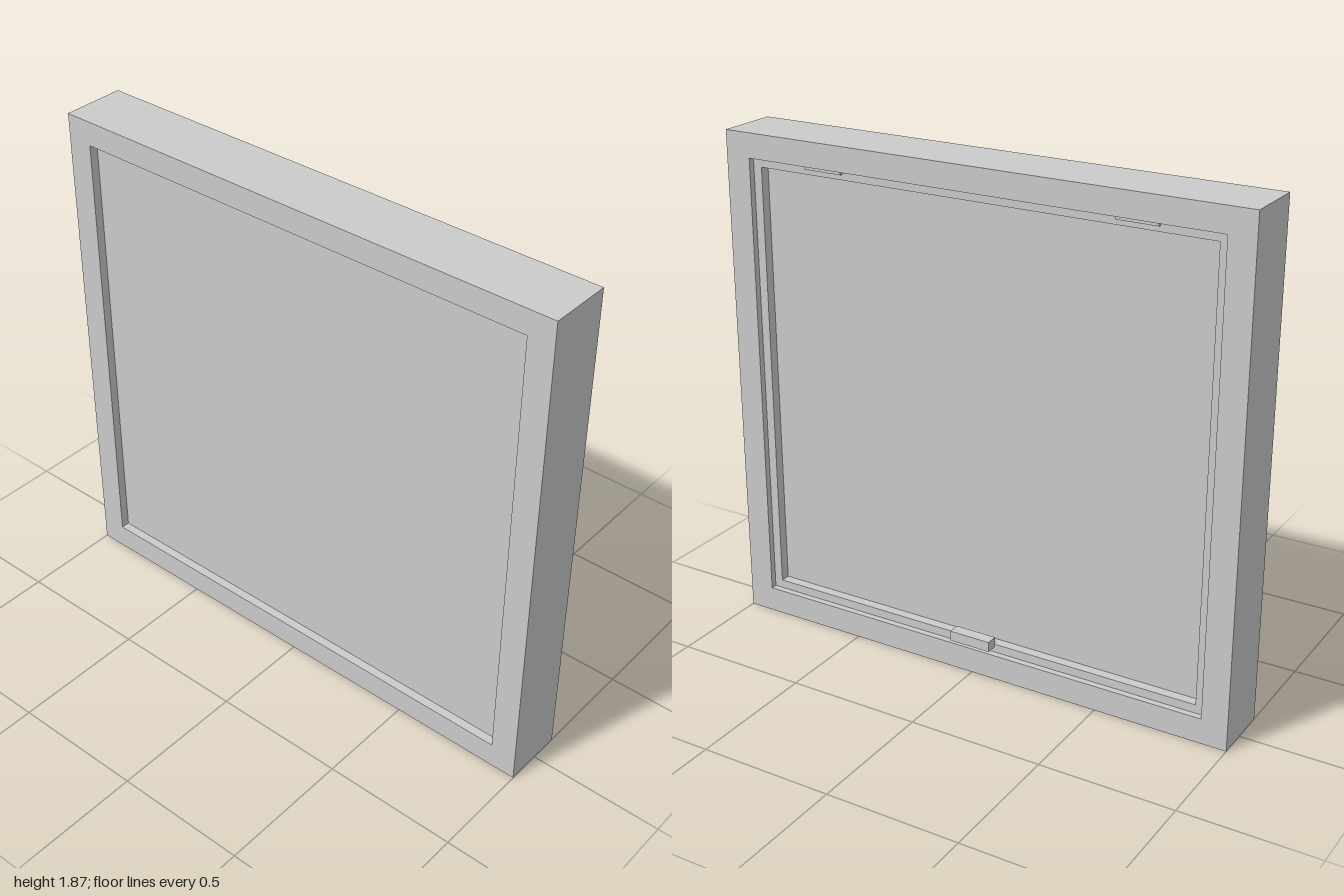
import * as THREE from 'three';

const material = new THREE.MeshStandardMaterial({ color: 0xcccccc });

// Rectangle in the z/y plane, as a shape or a hole
function rect(path, halfZ, y0, y1) {
  path.moveTo(-halfZ, y0);
  path.lineTo(halfZ, y0);
  path.lineTo(halfZ, y1);
  path.lineTo(-halfZ, y1);
  path.closePath();
  return path;
}

// Rectangular ring spanning x0..x1; each rect is [halfZ, y0, y1]
function ring(name, outer, inner, x0, x1) {
  const shape = rect(new THREE.Shape(), ...outer);
  shape.holes.push(rect(new THREE.Path(), ...inner));
  const geometry = new THREE.ExtrudeGeometry(shape, { depth: x1 - x0, bevelEnabled: false });
  geometry.rotateY(Math.PI / 2).translate(x0, 0, 0);
  const mesh = new THREE.Mesh(geometry, material);
  mesh.name = name;
  return mesh;
}

// Box given by its limits on each axis
function box(name, [x0, x1], [y0, y1], [z0, z1]) {
  const mesh = new THREE.Mesh(new THREE.BoxGeometry(x1 - x0, y1 - y0, z1 - z0), material);
  mesh.position.set((x0 + x1) / 2, (y0 + y1) / 2, (z0 + z1) / 2);
  mesh.name = name;
  return mesh;
}

export function createModel() {
  const model = new THREE.Group();
  model.name = 'window';

  const opening = [0.903, 0.095, 1.78];
  const light = [0.87, 0.127, 1.747];

  // Deep outer frame
  model.add(ring('outerFrame', [1, 0, 1.87], opening, -0.128, 0.108));

  // Slim sash set back in the opening
  model.add(ring('sash', opening, light, 0.045, 0.084));

  // Pane filling the opening behind the sash
  model.add(box('pane', [-0.095, 0.047], [0.095, 1.78], [-0.903, 0.903]));

  // Hinge plates under the head of the frame
  for (const side of [-1, 1]) {
    const z = side * 0.597;
    model.add(box(side > 0 ? 'leftHinge' : 'rightHinge', [0.08, 0.098], [1.768, 1.782], [z - 0.075, z + 0.075]));
  }

  // Handle on the bottom rail
  model.add(box('handle', [0.08, 0.125], [0.115, 0.153], [-0.08, 0.08]));

  return model;
}
